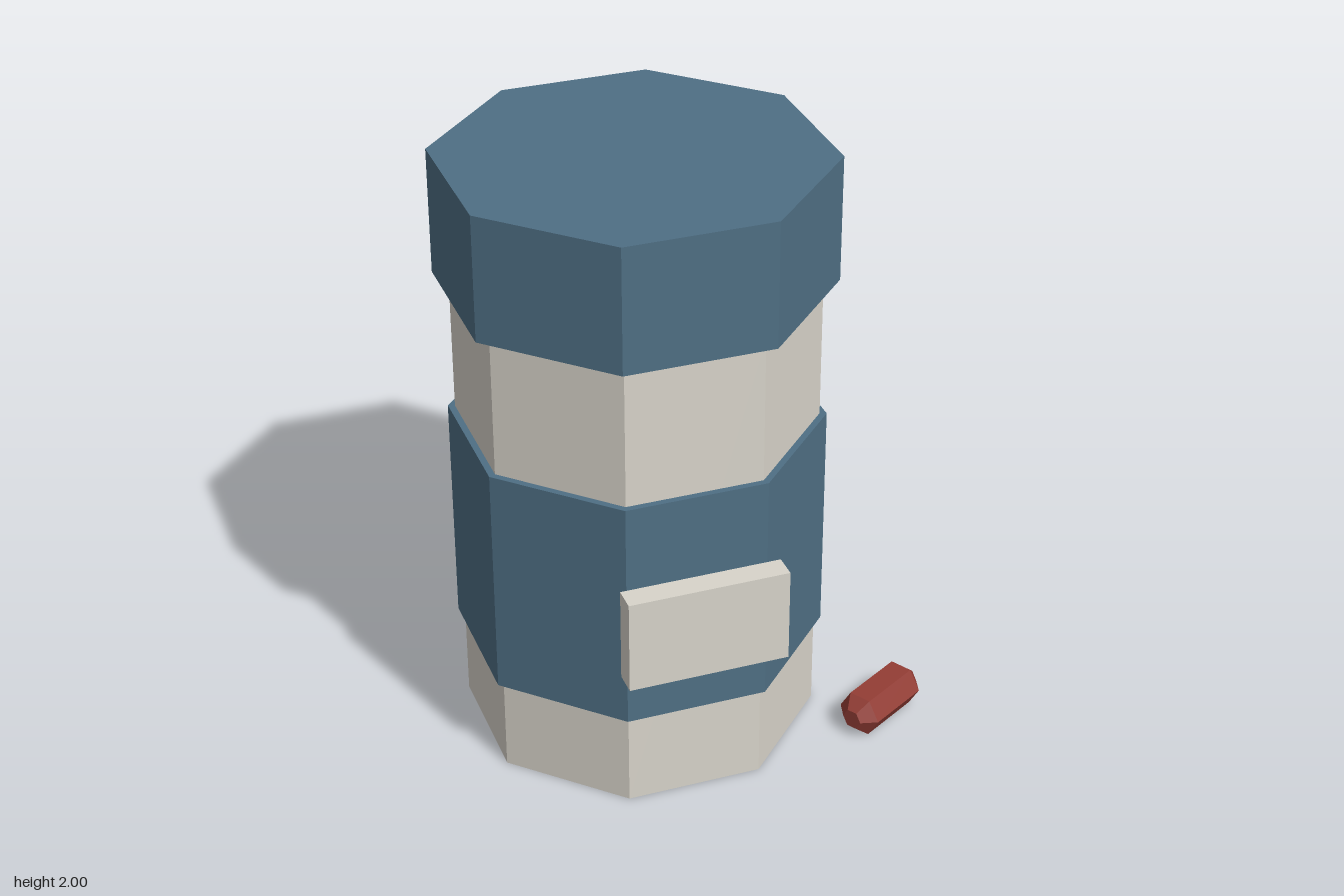
import * as THREE from 'three';

const cream = new THREE.MeshStandardMaterial({ name: 'cream', color: 0xd8d4ca });
const blue = new THREE.MeshStandardMaterial({ name: 'slateBlue', color: 0x4f6f84 });
const red = new THREE.MeshStandardMaterial({ name: 'brickRed', color: 0x933d35 });

// Gives every facet its own flat normal
function faceted(geometry) {
  const flat = geometry.toNonIndexed();
  flat.computeVertexNormals();
  return flat;
}

function part(name, geometry, material, x, y, z) {
  const mesh = new THREE.Mesh(geometry, material);
  mesh.name = name;
  mesh.position.set(x, y, z);
  return mesh;
}

export function createModel() {
  const group = new THREE.Group();
  group.name = 'pillBottle';

  // Octagonal sections stacked on one axis, flats facing the front and sides
  const section = (name, apothem, y0, y1, material) => {
    const r = apothem / Math.cos(Math.PI / 8);
    const geo = new THREE.CylinderGeometry(r, r, y1 - y0, 8, 1, false, Math.PI / 8);
    group.add(part(name, faceted(geo), material, -0.142, (y0 + y1) / 2, -0.044));
  };
  section('bottleBody', 0.536, 0, 1.6, cream);
  section('wrapBand', 0.557, 0.323, 1.106, blue);
  section('bottleCap', 0.583, 1.584, 2, blue);

  // Label plate standing just off the front of the band
  group.add(part('labelPlate', new THREE.BoxGeometry(0.523, 0.314, 0.08), cream, -0.143, 0.687, 0.588));

  // Six-sided pill with chamfered ends, lying on the ground
  const profile = [[0, -0.157], [0.035, -0.157], [0.077, -0.115], [0.077, 0.115], [0.035, 0.157], [0, 0.157]]
    .map(([r, y]) => new THREE.Vector2(r, y));
  const pillGeo = new THREE.LatheGeometry(profile, 6).rotateZ(-Math.PI / 2);
  const pill = part('pill', faceted(pillGeo), red, 0.569, 0.067, 0.352);
  pill.rotation.y = Math.PI / 6;
  group.add(pill);

  return group;
}
